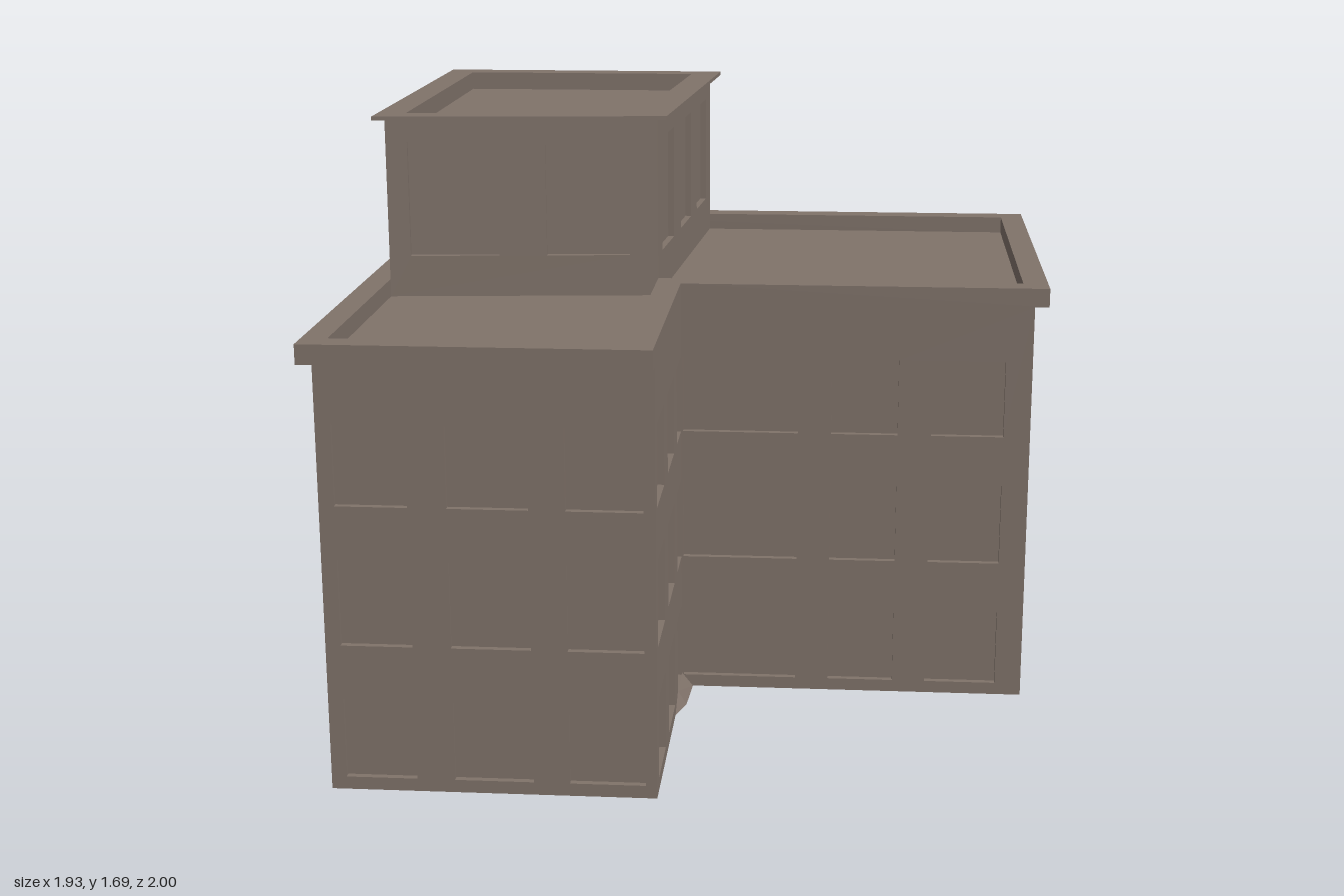
import * as THREE from 'three';
import { mergeGeometries } from 'three/addons/utils/BufferGeometryUtils.js';

const DEPTH = 0.018; // how far windows are sunk

const stone = new THREE.MeshStandardMaterial({ color: 0x80736a, side: THREE.DoubleSide });
stone.name = 'brown stone';

function addMesh(parent, geometry, name) {
  const mesh = new THREE.Mesh(geometry, stone);
  mesh.name = name;
  parent.add(mesh);
  return mesh;
}

// plan points are [x, z]; the shape is laid flat later by rotateX
const planPoints = (pts) => pts.map(([x, z]) => new THREE.Vector2(x, -z));

function planSlab(pts, hole, y, height) {
  const shape = new THREE.Shape(planPoints(pts));
  if (hole) shape.holes.push(new THREE.Path(planPoints(hole)));
  const geo = height
    ? new THREE.ExtrudeGeometry(shape, { depth: height, bevelEnabled: false })
    : new THREE.ShapeGeometry(shape);
  return geo.rotateX(-Math.PI / 2).translate(0, y, 0);
}

// sunken window: back pane and four reveals
function windowTray(x0, x1, y0, y1) {
  const w = x1 - x0, h = y1 - y0, cx = (x0 + x1) / 2, cy = (y0 + y1) / 2, q = Math.PI / 2;
  const plane = (a, b) => new THREE.PlaneGeometry(a, b);
  return [
    plane(w, h).translate(cx, cy, -DEPTH),
    plane(DEPTH, h).rotateY(q).translate(x0, cy, -DEPTH / 2),
    plane(DEPTH, h).rotateY(-q).translate(x1, cy, -DEPTH / 2),
    plane(w, DEPTH).rotateX(-q).translate(cx, y0, -DEPTH / 2),
    plane(w, DEPTH).rotateX(q).translate(cx, y1, -DEPTH / 2),
  ];
}

// wall from a to b (left to right seen from outside); columns are world x or z spans
function addWall(parent, name, a, b, y0, y1, columns = [], rows = []) {
  const dx = b[0] - a[0], dz = b[1] - a[1], len = Math.hypot(dx, dz);
  const axis = Math.abs(dx) > Math.abs(dz) ? 0 : 1;
  const along = (v) => ((v - a[axis]) / (b[axis] - a[axis])) * len;
  const shape = new THREE.Shape([
    new THREE.Vector2(0, y0), new THREE.Vector2(len, y0),
    new THREE.Vector2(len, y1), new THREE.Vector2(0, y1),
  ]);
  const trays = [];
  for (const span of columns) {
    const [s0, s1] = span.map(along).sort((p, q) => p - q);
    for (const [r0, r1] of rows) {
      shape.holes.push(new THREE.Path([
        new THREE.Vector2(s0, r0), new THREE.Vector2(s0, r1),
        new THREE.Vector2(s1, r1), new THREE.Vector2(s1, r0),
      ]));
      trays.push(...windowTray(s0, s1, r0, r1));
    }
  }
  const wall = new THREE.Group();
  wall.name = name;
  wall.position.set(a[0], 0, a[1]);
  wall.rotation.y = Math.atan2(-dz, dx);
  addMesh(wall, new THREE.ShapeGeometry(shape), name + 'Face');
  if (trays.length) addMesh(wall, mergeGeometries(trays), name + 'Windows');
  parent.add(wall);
}

export function createModel() {
  const model = new THREE.Group();
  model.name = 'building';

  // L-shaped main block
  const main = new THREE.Group();
  main.name = 'mainBlock';
  model.add(main);
  const rows = [[0.035, 0.255], [0.405, 0.64], [0.785, 1.005]];
  const W = -0.935, E = 0.925, N = -0.965, S = 0.965, IX = -0.07, IZ = 0.2;
  const walls = [
    ['wingFront', [W, S], [IX, S], [[-0.895, -0.705], [-0.605, -0.395], [-0.3, -0.1]]],
    ['wingInnerSide', [IX, S], [IX, IZ], [[0.72, 0.915], [0.43, 0.62], [0.205, 0.34]]],
    ['blockFront', [IX, IZ], [E, IZ], [[-0.065, 0.265], [0.36, 0.55], [0.645, 0.85]]],
    ['leftSide', [E, IZ], [E, N], [[-0.02, 0.125], [-0.405, -0.13], [-0.68, -0.515], [-0.9, -0.74]]],
    ['back', [E, N], [W, N], [[0.65, 0.845], [0.345, 0.53], [-0.215, 0.18], [-0.55, -0.34], [-0.9, -0.67]]],
    ['rightSide', [W, N], [W, S], [[-0.9, -0.68], [-0.54, -0.22], [-0.08, 0.14], [0.3, 0.54], [0.69, 0.92]]],
  ];
  for (const [name, a, b, columns] of walls) addWall(main, name, a, b, 0, 1.165, columns, rows);

  // cornice ring and sunken roof
  const corniceOuter = [[-0.968, 1], [IX, 1], [IX, IZ], [0.965, IZ], [0.965, -1], [-0.968, -1]];
  const corniceInner = [[-0.9, 0.93], [-0.14, 0.93], [-0.14, 0.13], [0.895, 0.13], [0.895, -0.93], [-0.9, -0.93]];
  addMesh(main, planSlab(corniceOuter, corniceInner, 1.165, 0.053), 'cornice');
  addMesh(main, planSlab(corniceInner, null, 1.168, 0), 'mainRoof');

  // skewed penthouse
  const penthouse = new THREE.Group();
  penthouse.name = 'penthouse';
  model.add(penthouse);
  const corners = [[-0.9, 0.2], [-0.14, 0.13], [-0.07, -0.93], [-0.9, -0.93]];
  const columns = [
    [[-0.84, -0.59], [-0.455, -0.22]],
    [[-0.165, 0.055], [-0.51, -0.3], [-0.84, -0.63]],
    [[-0.41, -0.13], [-0.845, -0.575]],
    [[-0.84, -0.61], [-0.47, -0.26], [-0.12, 0.1]],
  ];
  ['Front', 'LeftSide', 'Back', 'RightSide'].forEach((side, i) =>
    addWall(penthouse, 'penthouse' + side, corners[i], corners[(i + 1) % 4], 1.168, 1.675, columns[i], [[1.285, 1.61]]));

  // penthouse eaves, parapet lining and roof
  const eaves = [[-0.928, 0.24], [-0.11, 0.17], [-0.037, -0.97], [-0.928, -0.97]];
  const opening = [[-0.848, 0.153], [-0.19, 0.09], [-0.127, -0.89], [-0.848, -0.89]];
  addMesh(penthouse, planSlab(eaves, opening, 1.675, 0.011), 'penthouseEaves');
  opening.forEach((p, i) => addWall(penthouse, 'parapetLining', opening[(i + 1) % 4], p, 1.632, 1.676));
  addMesh(penthouse, planSlab(opening, null, 1.632, 0), 'penthouseRoof');

  // small sloped wedge at the foot of the inner corner
  const wedge = new THREE.BufferGeometry();
  wedge.setAttribute('position', new THREE.Float32BufferAttribute([
    IX, 0.04, 0.2, IX, 0.04, 0.34, -0.038, 0, 0.2,
    IX, 0.04, 0.34, -0.045, 0, 0.34, -0.038, 0, 0.2,
    IX, 0.04, 0.34, IX, 0, 0.42, -0.045, 0, 0.34,
  ], 3));
  wedge.computeVertexNormals();
  addMesh(main, wedge, 'cornerWedge');

  return model;
}
